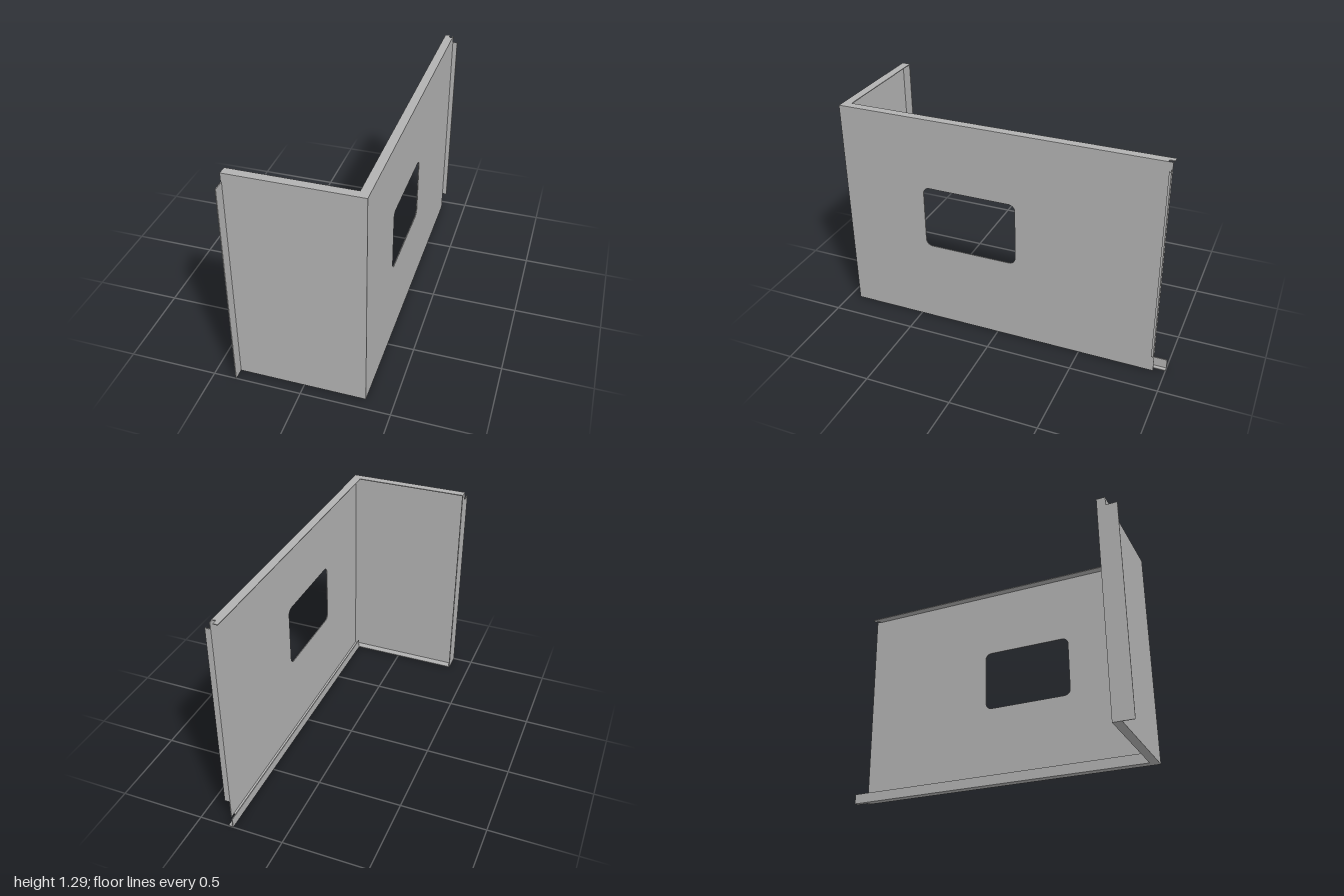
import * as THREE from 'three';

const T = 0.005;                    // sheet thickness
const H = 1.29;                     // panel height
const XL = -0.375, XR = 0.347;      // outer faces across the front
const ZF = 0.935, ZB = -0.935;      // front face and rear edge of the side panel
const F = 0.05;                     // flange depth

export function createModel() {
  const group = new THREE.Group();
  const steel = new THREE.MeshStandardMaterial({ color: 0xb2b2b2 });
  steel.name = 'grey sheet metal';

  const add = (name, geometry) => {
    const mesh = new THREE.Mesh(geometry, steel);
    mesh.name = name;
    group.add(mesh);
  };
  // Box given by its limits on each axis
  const plate = (name, x0, x1, y0, y1, z0, z1) => add(name,
    new THREE.BoxGeometry(x1 - x0, y1 - y0, z1 - z0)
      .translate((x0 + x1) / 2, (y0 + y1) / 2, (z0 + z1) / 2));
  // Plan outline of [x, z] points raised from y0 to y1
  const plan = (name, points, y0, y1) => {
    const shape = new THREE.Shape(points.map(([x, z]) => new THREE.Vector2(x, -z)));
    add(name, new THREE.ExtrudeGeometry(shape, { depth: y1 - y0, bevelEnabled: false })
      .rotateX(-Math.PI / 2).translate(0, y0, 0));
  };

  // Side panel with a rounded window; the shape runs along -z
  const side = new THREE.Shape();
  side.moveTo(-ZF, 0).lineTo(-ZB, 0).lineTo(-ZB, H).lineTo(-ZF, H).closePath();
  const a = -0.44, b = 0.11, c = 0.5, d = 0.875, r = 0.037;
  const hole = new THREE.Path();
  hole.absarc(a + r, c + r, r, Math.PI, 1.5 * Math.PI);
  hole.absarc(b - r, c + r, r, 1.5 * Math.PI, 2 * Math.PI);
  hole.absarc(b - r, d - r, r, 0, 0.5 * Math.PI);
  hole.absarc(a + r, d - r, r, 0.5 * Math.PI, Math.PI);
  hole.closePath();
  side.holes.push(hole);
  add('sidePanel', new THREE.ExtrudeGeometry(side, { depth: T, bevelEnabled: false, curveSegments: 8 })
    .rotateY(Math.PI / 2).translate(XR - T, 0, 0));

  // Front panel and its end flange, with the outer strip cut lower
  plate('frontPanel', XL, XR - T, 0, H, ZF - T, ZF);
  plate('endFlange', XL, XL + T, 0, H, ZF - F, ZF - T);
  plate('endFlangeOuter', XL, XL + T, 0, 1.24, ZF, 1);

  // Top and bottom flanges, mitred at the corner
  const xi = XR - F, zi = ZF - F, notch = XR - 0.022;
  const frontFlange = [[XL + T, zi], [XL + T, ZF - T], [XR - T, ZF - T], [xi, zi]];
  const sideFlange = (zEnd) => [[xi, zi], [XR - T, ZF - T], [XR - T, -0.91],
    [notch, -0.91], [notch, zEnd], [xi, zEnd]];
  for (const [name, y, zEnd] of [['top', H - T, -0.94], ['bottom', 0, -1]]) {
    plan(name + 'FrontFlange', frontFlange, y, y + T);
    plan(name + 'SideFlange', sideFlange(zEnd), y, y + T);
  }

  // Upright lip along the inner edge of the bottom side flange
  plate('bottomLip', xi, xi + T, T, 0.06, -1, zi);

  // Outward hook along the rear edge of the side panel
  plan('rearHook', [[XR, ZB], [0.375, ZB], [0.375, -0.923], [0.371, -0.923],
    [0.371, ZB + T], [XR, ZB + T]], 0.115, 1.25);

  return group;
}
